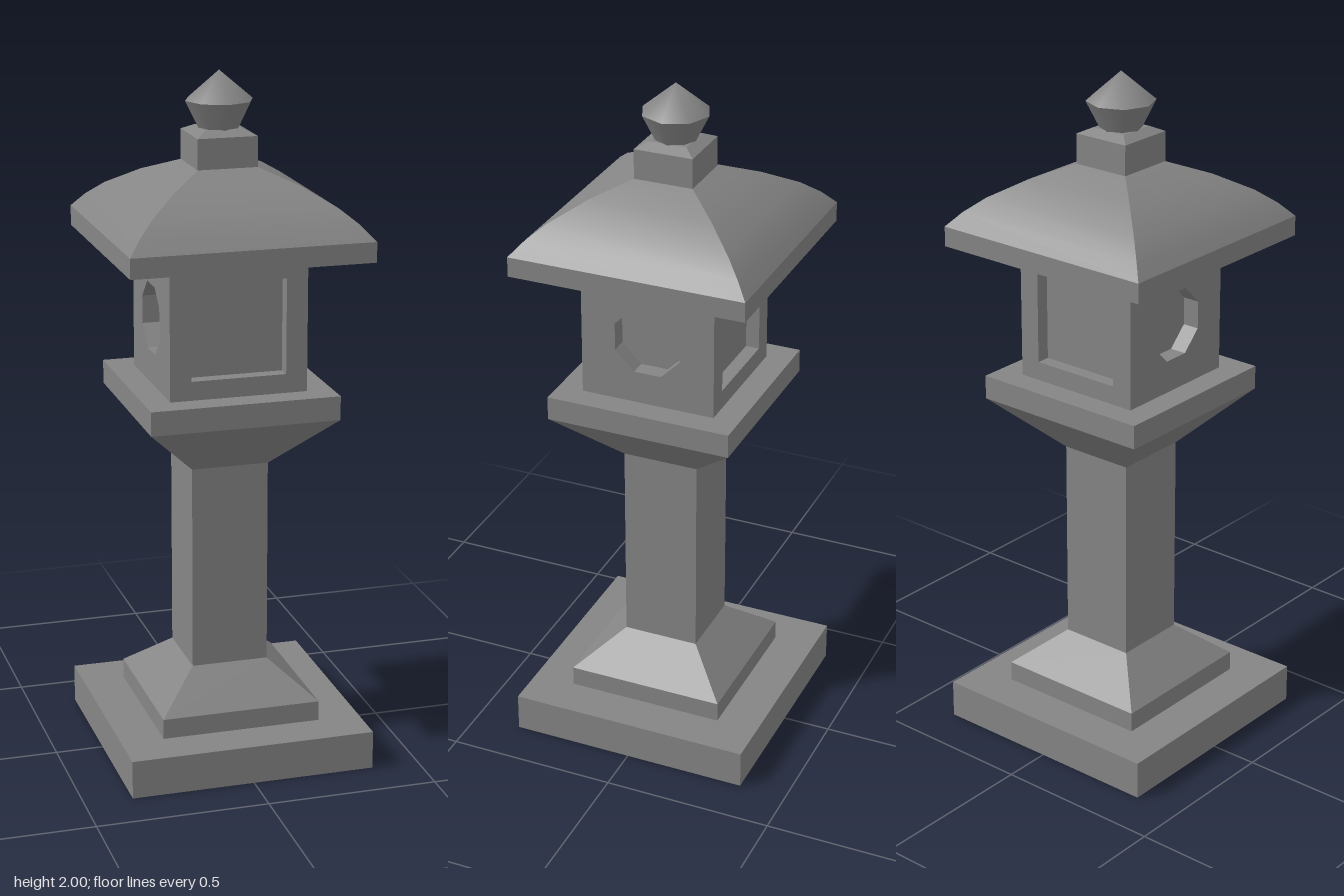
import * as THREE from 'three';
import { toCreasedNormals } from 'three/addons/utils/BufferGeometryUtils.js';

const stone = new THREE.MeshStandardMaterial({ color: 0x858585 });
const flatStone = new THREE.MeshStandardMaterial({ color: 0x858585, flatShading: true });

function addMesh(parent, name, geometry, material = flatStone) {
  const mesh = new THREE.Mesh(geometry, material);
  mesh.name = name;
  parent.add(mesh);
  return mesh;
}

// Square block with its own half width at the bottom and the top
function addTier(parent, name, y0, y1, bottomHalf, topHalf = bottomHalf) {
  const geometry = new THREE.CylinderGeometry(topHalf * Math.SQRT2, bottomHalf * Math.SQRT2, y1 - y0, 4);
  geometry.rotateY(Math.PI / 4);
  geometry.translate(0, (y0 + y1) / 2, 0);
  return addMesh(parent, name, geometry);
}

// Wall slab with a regular opening a little below its middle
function wallGeometry(width, height, depth, sides, radius) {
  const w = width / 2, h = height / 2;
  const shape = new THREE.Shape([
    new THREE.Vector2(-w, -h), new THREE.Vector2(w, -h),
    new THREE.Vector2(w, h), new THREE.Vector2(-w, h),
  ]);
  const opening = [];
  for (let i = 0; i < sides; i++) {
    const a = -((i + 0.5) / sides) * Math.PI * 2;
    opening.push(new THREE.Vector2(Math.cos(a) * radius, Math.sin(a) * radius - 0.005));
  }
  shape.holes.push(new THREE.Path(opening));
  return new THREE.ExtrudeGeometry(shape, { depth, bevelEnabled: false });
}

export function createModel() {
  const lantern = new THREE.Group();
  lantern.name = 'stoneLantern';

  // Base, post and platform
  addTier(lantern, 'basePlinth', 0, 0.113, 0.36);
  addTier(lantern, 'baseStep', 0.113, 0.172, 0.235);
  addTier(lantern, 'baseSlope', 0.172, 0.276, 0.235, 0.113);
  addTier(lantern, 'post', 0.276, 0.88, 0.113);
  addTier(lantern, 'platformFlare', 0.88, 1.042, 0.113, 0.275);
  addTier(lantern, 'platformSlab', 1.042, 1.112, 0.275);

  // Light chamber: solid core behind four walls with recessed windows
  const chamber = new THREE.Group();
  chamber.name = 'lightChamber';
  chamber.position.y = 1.31;
  lantern.add(chamber);
  const height = 0.396, half = 0.2, frontDepth = 0.04, sideDepth = 0.05;
  const coreX = half - sideDepth, coreZ = half - frontDepth;
  addMesh(chamber, 'chamberCore', new THREE.BoxGeometry(coreX * 2, height, coreZ * 2));
  const squareWall = wallGeometry(half * 2, height, frontDepth, 4, 0.138 * Math.SQRT2);
  const octagonWall = wallGeometry(coreZ * 2, height, sideDepth, 8, 0.098 / Math.cos(Math.PI / 8));
  ['frontWall', 'leftWall', 'backWall', 'rightWall'].forEach((name, i) => {
    const wall = addMesh(chamber, name, i % 2 ? octagonWall : squareWall);
    wall.rotation.y = i * Math.PI / 2;
    wall.translateZ(i % 2 ? coreX : coreZ);
  });

  // Roof: straight eave, curved slopes with sharp hips
  addTier(lantern, 'eave', 1.508, 1.566, 0.348);
  const profile = [[0.348, 1.566], [0.312, 1.607], [0.265, 1.647], [0.18, 1.698], [0.087, 1.738]]
    .map(([x, y]) => new THREE.Vector2(x * Math.SQRT2, y));
  const slopes = new THREE.LatheGeometry(profile, 4, Math.PI / 4);
  addMesh(lantern, 'roofSlopes', toCreasedNormals(slopes, 0.4), stone);

  // Neck and eight-sided finial, smooth over its tip
  addTier(lantern, 'neck', 1.735, 1.825, 0.087);
  addTier(lantern, 'neckCap', 1.825, 1.841, 0.087, 0.055);
  const bud = new THREE.CylinderGeometry(0.098, 0.058, 0.08, 8, 1, true);
  bud.translate(0, 1.877, 0);
  addMesh(lantern, 'finialBud', bud, stone);
  const tip = new THREE.ConeGeometry(0.098, 0.083, 8, 1, true);
  tip.translate(0, 1.9585, 0);
  addMesh(lantern, 'finialTip', toCreasedNormals(tip, 1.5), stone);

  return lantern;
}
